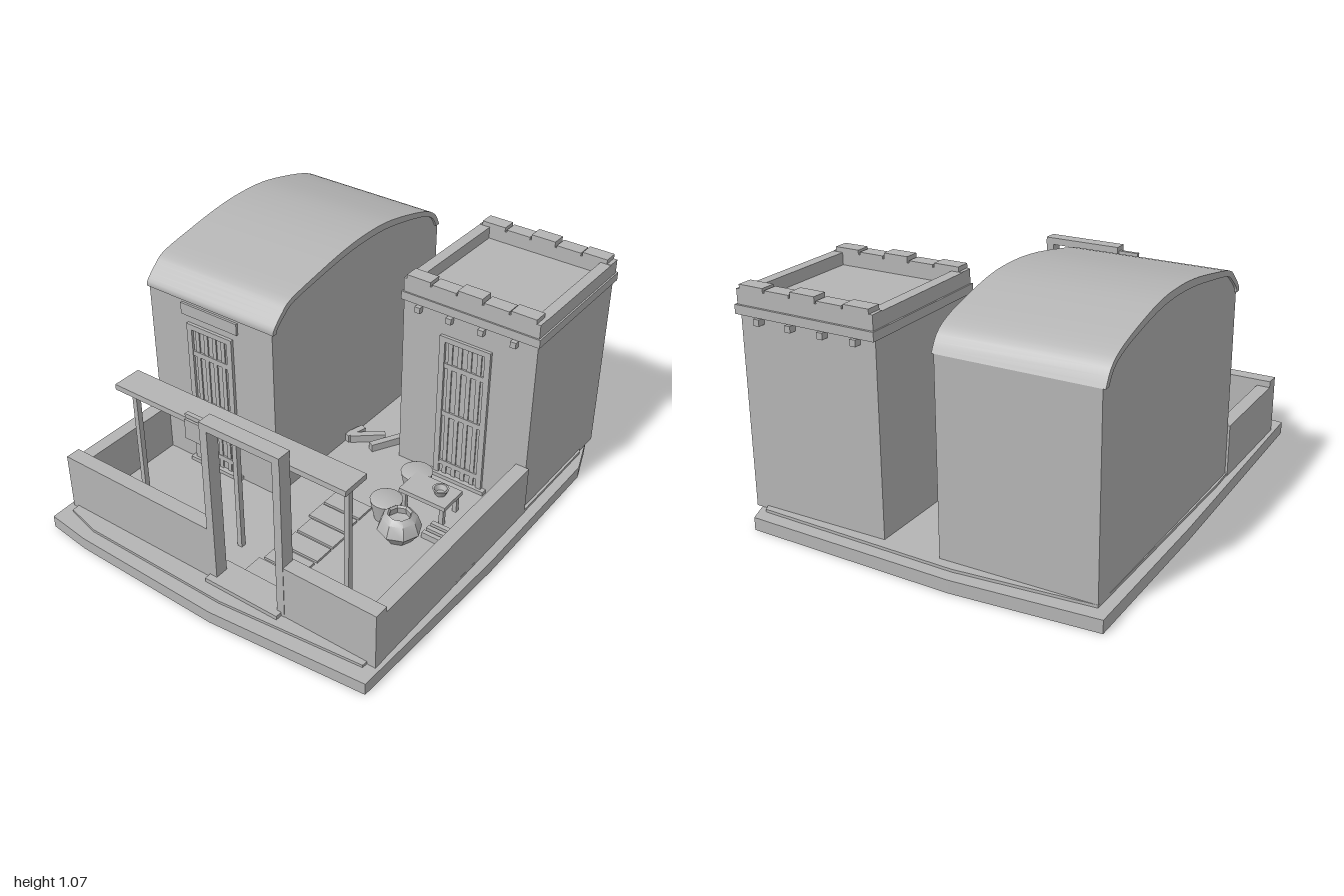
import * as THREE from 'three';
import { toCreasedNormals } from 'three/addons/utils/BufferGeometryUtils.js';

const clay = new THREE.MeshStandardMaterial({ color: 0xb4b4b4 });
clay.name = 'grey clay';

export function createModel() {
  const root = new THREE.Group();

  function add(parent, name, geo) {
    const m = new THREE.Mesh(geo, clay);
    m.name = name;
    parent.add(m);
    return m;
  }
  // box given by its limits on each axis
  function box(parent, name, x0, x1, y0, y1, z0, z1) {
    const m = add(parent, name, new THREE.BoxGeometry(x1 - x0, y1 - y0, z1 - z0));
    m.position.set((x0 + x1) / 2, (y0 + y1) / 2, (z0 + z1) / 2);
    return m;
  }
  function group(name) {
    const g = new THREE.Group();
    g.name = name;
    root.add(g);
    return g;
  }
  const shapeOf = pts => new THREE.Shape(pts.map(p => new THREE.Vector2(p[0], p[1])));

  // ground slab with irregular outline, in two layers
  function slab(name, pts, y0, y1) {
    const g = new THREE.ExtrudeGeometry(shapeOf(pts), { depth: y1 - y0, bevelEnabled: false });
    g.rotateX(Math.PI / 2);
    g.translate(0, y1, 0);
    add(root, name, g);
  }
  slab('groundSlab', [[-0.83, -0.96], [-0.22, -1], [0.71, -0.975], [0.77, -0.82], [0.825, -0.66], [0.83, 0.1],
    [0.8, 0.94], [0.1, 1], [-0.6, 0.985], [-0.805, 0.96], [-0.83, -0.2]], 0, 0.055);
  slab('yardFloor', [[-0.78, -0.9], [-0.2, -0.945], [0.7, -0.915], [0.78, -0.75], [0.785, 0.3], [0.745, 0.88],
    [0.1, 0.94], [-0.6, 0.93], [-0.76, 0.89], [-0.79, 0.2]], 0.055, 0.067);

  // vaulted house: outer roof curve as [z, y]
  const house = group('vaultedHouse');
  const outer = [[0.305, 0.88], [0.3, 0.905], [0.25, 0.955], [0.19, 0.995], [0.02, 1.03], [-0.15, 1.058], [-0.3, 1.07],
    [-0.46, 1.065], [-0.62, 1.035], [-0.78, 0.99], [-0.86, 0.945], [-0.9, 0.88]];
  const curve = new THREE.SplineCurve(outer.map(p => new THREE.Vector2(-p[0], p[1]))).getPoints(36);
  const inner = curve.map(p => new THREE.Vector2(0.2975 + (p.x - 0.2975) * 0.96, 0.88 + (p.y - 0.88) * 0.83));
  function vault(name, pts, x0, x1) {
    const g = new THREE.ExtrudeGeometry(new THREE.Shape(pts), { depth: x1 - x0, bevelEnabled: false });
    g.rotateY(Math.PI / 2);
    g.translate(x0, 0, 0);
    add(house, name, toCreasedNormals(g, 0.6));
  }
  box(house, 'houseWalls', -0.78, -0.12, 0.055, 0.88, -0.9, 0.3);
  vault('gables', inner, -0.78, -0.12);
  vault('vaultRoof', [...curve, ...inner.slice().reverse()], -0.79, -0.11);
  box(house, 'doorSign', -0.6, -0.3, 0.815, 0.868, 0.3, 0.31);

  // framed door with a barred leaf, front wall at z
  function door(parent, cx, z) {
    const d = new THREE.Group();
    d.name = 'door';
    d.position.set(cx, 0, z);
    parent.add(d);
    box(d, 'doorPanel', -0.095, 0.095, 0.067, 0.755, -0.002, 0.003);
    for (const s of [-1, 1]) box(d, 'doorJamb', s * 0.108 - 0.013, s * 0.108 + 0.013, 0.067, 0.755, -0.002, 0.014);
    box(d, 'doorHead', -0.121, 0.121, 0.755, 0.78, -0.002, 0.014);
    for (let i = 0; i < 4; i++) {
      const x = -0.069 + i * 0.046;
      box(d, 'doorBar', x - 0.01, x + 0.01, 0.075, 0.755, 0, 0.009);
    }
    for (const y of [0.14, 0.4, 0.64]) box(d, 'doorRail', -0.095, 0.095, y - 0.012, y + 0.012, 0, 0.011);
    box(d, 'doorStep', -0.14, 0.14, 0.055, 0.085, -0.002, 0.027);
  }
  door(house, -0.45, 0.3);

  // square tower with cornice and stepped parapet
  const tower = group('squareTower');
  box(tower, 'towerWalls', 0.14, 0.77, 0.055, 0.925, -0.885, -0.245);
  box(tower, 'cornice', 0.13, 0.778, 0.88, 0.918, -0.91, -0.238);
  for (const [z0, z1] of [[-0.9, -0.84], [-0.305, -0.245]]) {
    box(tower, 'parapet', 0.137, 0.771, 0.918, 0.98, z0, z1);
    [1, 0.992, 1.007, 0.993, 1].forEach((top, i) => {
      const x = 0.152 + i * 0.122;
      box(tower, 'copingBlock', x, x + 0.114, 0.98, top, z0 - 0.003, z1 + 0.003);
    });
  }
  for (const [x0, x1] of [[0.137, 0.187], [0.723, 0.771]])
    box(tower, 'parapetSide', x0, x1, 0.918, 0.978, -0.84, -0.305);
  for (let i = 0; i < 4; i++) {
    const x = 0.22 + i * 0.15;
    box(tower, 'beamEnd', x - 0.013, x + 0.013, 0.85, 0.877, -0.918, -0.222);
  }
  door(tower, 0.45, -0.245);

  // courtyard walls
  const walls = group('courtyardWalls');
  box(walls, 'frontWallRight', -0.79, -0.01, 0.055, 0.315, 0.79, 0.855);
  box(walls, 'frontWallLeft', 0.35, 0.785, 0.055, 0.315, 0.79, 0.855);
  box(walls, 'sideWallRight', -0.79, -0.73, 0.055, 0.287, 0.3, 0.79);
  box(walls, 'sideWallLeft', 0.722, 0.784, 0.055, 0.287, -0.245, 0.79);

  // gate with hanging sign
  const gate = group('gate');
  for (const x of [-0.015, 0.325]) box(gate, 'gatePost', x, x + 0.035, 0.06, 0.8, 0.797, 0.857);
  box(gate, 'gateLintel', -0.015, 0.36, 0.798, 0.83, 0.795, 0.859);
  box(gate, 'signBracket', -0.11, -0.015, 0.792, 0.81, 0.81, 0.828);
  box(gate, 'signBoard', -0.11, -0.015, 0.7, 0.787, 0.805, 0.833);
  box(gate, 'threshold', -0.015, 0.345, 0.06, 0.085, 0.755, 0.887);

  // shade plank on posts
  const shade = group('shade');
  box(shade, 'shadePlank', -0.615, 0.535, 0.64, 0.665, 0.57, 0.7);
  for (const x of [-0.57, -0.04, 0.5]) box(shade, 'shadePost', x - 0.011, x + 0.011, 0.06, 0.64, 0.623, 0.647);

  // stepping stones
  const path = group('path');
  [0.075, 0.075, 0.095, 0.095, 0.09, 0.075].forEach((x, i) => {
    const z = 0.135 + i * 0.105;
    box(path, 'steppingStone', x, x + 0.183, 0.06, 0.078, z, z + 0.092);
  });

  // low table with cup, two stools, a pot and slats
  const yard = group('yardThings');
  function turned(name, pts, sides, x, y, z) {
    const g = new THREE.LatheGeometry(pts.map(p => new THREE.Vector2(p[0], p[1])), sides);
    add(yard, name, toCreasedNormals(g, 0.55)).position.set(x, y, z);
  }
  box(yard, 'tableTop', 0.34, 0.568, 0.15, 0.17, -0.085, 0.055);
  for (const x of [0.36, 0.548]) for (const z of [-0.068, 0.038])
    box(yard, 'tableLeg', x - 0.01, x + 0.01, 0.06, 0.15, z - 0.01, z + 0.01);
  turned('cup', [[0, 0], [0.022, 0], [0.036, 0.03], [0.028, 0.03], [0.018, 0.008], [0, 0.008]], 14, 0.503, 0.17, -0.015);
  for (const z of [-0.095, 0.135])
    turned('stool', [[0, 0], [0.05, 0], [0.07, 0.098], [0.06, 0.103], [0, 0.103]], 18, 0.332, 0.063, z);
  turned('pot', [[0, 0], [0.055, 0], [0.095, 0.055], [0.075, 0.11], [0.052, 0.13], [0.045, 0.12], [0.05, 0.09], [0, 0.08]],
    8, 0.45, 0.063, 0.21);
  for (const z of [0.07, 0.105, 0.14]) box(yard, 'slat', 0.527, 0.68, 0.06, 0.095, z, z + 0.021);

  // loose timbers lying between the buildings
  for (const [x, z, len, a] of [[0.075, -0.31, 0.25, 1.07], [-0.04, -0.255, 0.16, 0.7], [-0.1, -0.24, 0.1, 1.3]]) {
    const t = box(yard, 'timber', -len / 2, len / 2, 0.065, 0.103, -0.015, 0.015);
    t.position.x = x;
    t.position.z = z;
    t.rotation.y = a;
  }
  return root;
}
